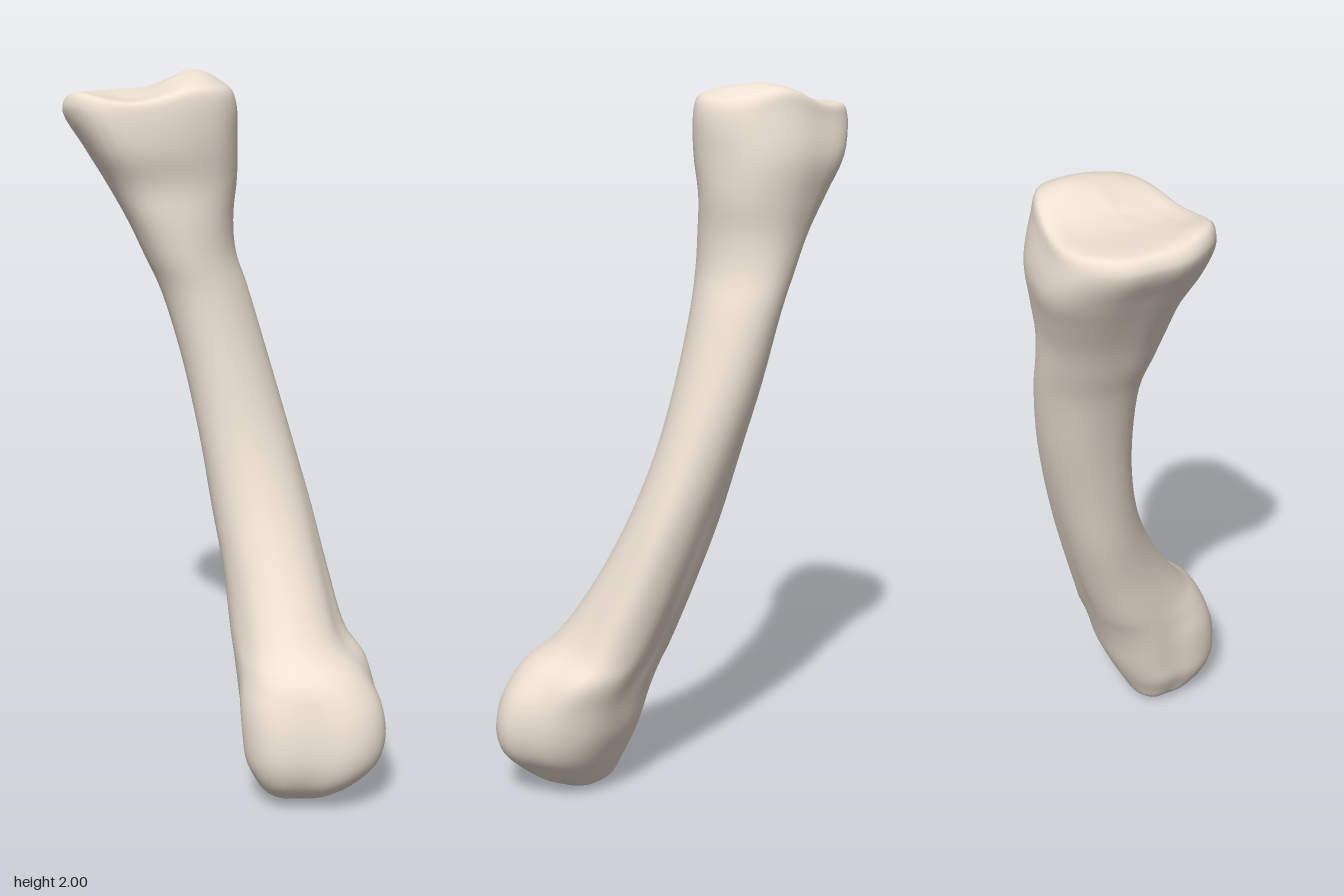
import * as THREE from 'three';

const SIDES = 48, STEPS = 96;

// Outline radii every 30 degrees, from +x towards +z, by height
const outlines = [
  [0.24, [0.96, 1.15, 1.19, 1.06, 1.2, 1.11, 0.98, 1.1, 1.1, 1, 0.99, 0.96]], // lower head
  [0.46, [1, 1, 1, 1, 0.95, 0.9, 0.99, 1.17, 1.14, 1.02, 1.17, 1.23]], // flare above it
  [0.65, [1, 0.97, 0.98, 1, 0.95, 0.92, 1, 1.16, 1.13, 1.01, 1.12, 1.19]],
  [1.10, [1, 0.93, 0.93, 1, 1.04, 1.03, 1, 1.03, 1.0, 1, 1.07, 1.09]], // shaft
  [1.40, [1, 0.93, 0.93, 1, 1.06, 1.06, 1, 0.98, 0.96, 1, 1.06, 1.06]],
  [1.80, [1, 0.98, 0.93, 0.98, 1.23, 1.13, 1, 1.06, 1.12, 1, 1, 1.03]], // upper head
];

// Section extents along the bone: y, xMin, xMax, zMin, zMax
const sections = [
  [0.002, 0.18, 0.22, 0.165, 0.20],
  [0.008, 0.145, 0.255, 0.135, 0.235],
  [0.028, 0.11, 0.305, 0.105, 0.277],
  [0.08, 0.08, 0.37, 0.075, 0.335],
  [0.14, 0.055, 0.425, 0.045, 0.362],
  [0.21, 0.045, 0.445, 0.015, 0.367],
  [0.30, 0.033, 0.432, -0.01, 0.352],
  [0.38, 0.022, 0.395, -0.035, 0.325],
  [0.45, 0.01, 0.34, -0.06, 0.26],
  [0.60, -0.01, 0.29, -0.11, 0.16],
  [0.80, -0.05, 0.235, -0.17, 0.065],
  [1.00, -0.085, 0.175, -0.225, 0.008],
  [1.20, -0.13, 0.115, -0.27, -0.018],
  [1.40, -0.19, 0.055, -0.30, -0.025],
  [1.50, -0.235, 0.022, -0.31, -0.012],
  [1.60, -0.28, 0.015, -0.32, 0],
  [1.70, -0.335, 0.025, -0.343, 0.01],
];

// Rim and joint face: height fraction, scale towards centre, xMin, xMax, zMin, zMax
const capRings = [
  [0.42, 1, -0.395, 0.027, -0.368, 0.045],
  [0.82, 1, -0.45, 0.024, -0.35, 0.052],
  [0.97, 0.95, -0.45, 0.022, -0.35, 0.052],
  [1, 0.85, -0.45, 0.02, -0.35, 0.05],
  [1, 0.6, -0.45, 0.02, -0.35, 0.05],
  [1, 0.3, -0.45, 0.02, -0.35, 0.05],
  [1, 0.02, -0.45, 0.02, -0.35, 0.05],
];

// Smooth periodic lookup in a radius list
function radius(list, t) {
  const f = t * 12, i = Math.floor(f), u = f - i;
  const [a, b, c, d] = [-1, 0, 1, 2].map((k) => list[(i + k + 12) % 12]);
  return b + 0.5 * u * (c - a + u * (2 * a - 5 * b + 4 * c - d + u * (3 * (b - c) + d - a)));
}

// Radius list blended between the neighbouring heights
function radiiAt(y) {
  let list = outlines[0][1];
  for (let k = 1; k < outlines.length; k++) {
    const w = THREE.MathUtils.smoothstep(y, outlines[k - 1][0], outlines[k][0]);
    list = list.map((r, i) => THREE.MathUtils.lerp(r, outlines[k][1][i], w));
  }
  return list;
}

// Outline at a height, fitted to the given extents
function outline(y, x0, x1, z0, z1) {
  const list = radiiAt(y), pts = [];
  for (let i = 0; i < SIDES; i++) {
    const t = i / SIDES, a = t * Math.PI * 2, r = radius(list, t);
    pts.push(new THREE.Vector3(r * Math.cos(a), y, r * Math.sin(a)));
  }
  const box = new THREE.Box3().setFromPoints(pts);
  for (const p of pts) {
    p.x = THREE.MathUtils.mapLinear(p.x, box.min.x, box.max.x, x0, x1);
    p.z = THREE.MathUtils.mapLinear(p.z, box.min.z, box.max.z, z0, z1);
  }
  return pts;
}

// Saddle-like joint face: a peak, a raised front lip and a shallow dish
function faceHeight(x, z) {
  const bump = (cx, cz, w, d) => Math.exp(-(((x - cx) / w) ** 2) - ((z - cz) / d) ** 2);
  return 1.938 + 0.063 * bump(-0.1, -0.2, 0.1, 0.2) + 0.022 * bump(-0.4, 0.02, 0.08, 0.12)
    - 0.01 * bump(-0.24, -0.08, 0.12, 0.15);
}

function boneGeometry() {
  const rings = sections.map((s) => outline(...s));
  for (const [f, k, x0, x1, z0, z1] of capRings) {
    const cx = (x0 + x1) / 2, cz = (z0 + z1) / 2;
    rings.push(outline(1.9, x0, x1, z0, z1).map((p) => {
      const x = cx + (p.x - cx) * k, z = cz + (p.z - cz) * k;
      return new THREE.Vector3(x, THREE.MathUtils.lerp(1.7, faceHeight(x, z), f), z);
    }));
  }
  // Smooth each lengthwise column of points
  const columns = [];
  for (let i = 0; i < SIDES; i++) {
    const curve = new THREE.CatmullRomCurve3(rings.map((r) => r[i]));
    columns.push(curve.getPoints(STEPS));
  }
  const pos = [], index = [];
  for (let j = 0; j <= STEPS; j++) {
    for (let i = 0; i < SIDES; i++) {
      pos.push(...columns[i][j].toArray());
      if (j === STEPS) continue;
      const a = j * SIDES + i, b = j * SIDES + (i + 1) % SIDES;
      index.push(a, a + SIDES, b, b, a + SIDES, b + SIDES);
    }
  }
  // Close both ends
  for (const j of [0, STEPS]) {
    const c = pos.length / 3, mid = new THREE.Vector3();
    columns.forEach((col) => mid.addScaledVector(col[j], 1 / SIDES));
    pos.push(mid.x, j ? mid.y : 0, mid.z);
    for (let i = 0; i < SIDES; i++) {
      const a = j * SIDES + i, b = j * SIDES + (i + 1) % SIDES;
      if (j) index.push(a, c, b);
      else index.push(a, b, c);
    }
  }
  const g = new THREE.BufferGeometry();
  g.setAttribute('position', new THREE.Float32BufferAttribute(pos, 3));
  g.setIndex(index);
  g.computeVertexNormals();
  return g;
}

export function createModel() {
  const group = new THREE.Group();
  group.name = 'bone';
  const mesh = new THREE.Mesh(boneGeometry(), new THREE.MeshStandardMaterial({ color: 0xeee2d3 }));
  mesh.name = 'boneShaftAndHeads';
  group.add(mesh);
  return group;
}
